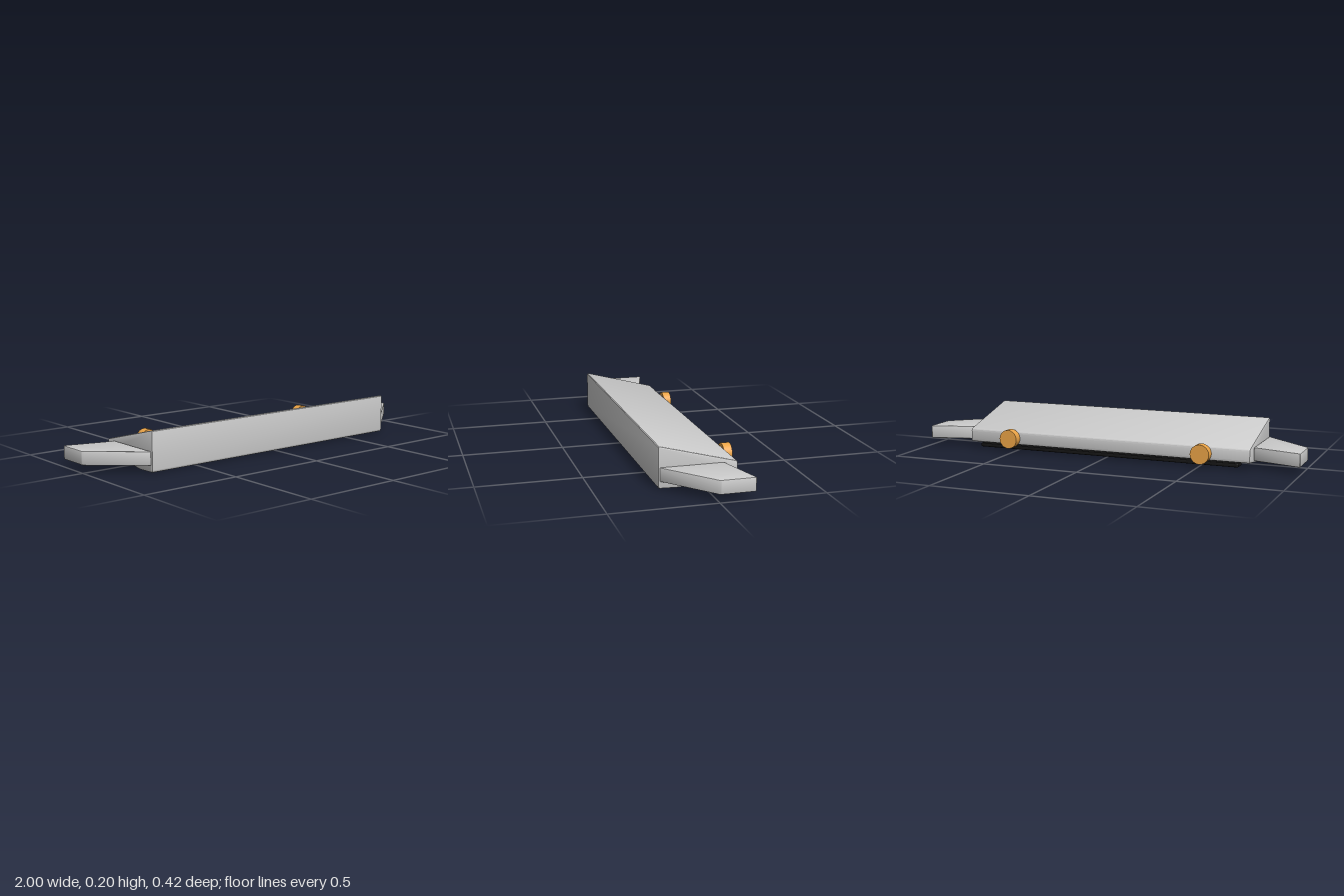
import * as THREE from 'three';
import { toCreasedNormals } from 'three/addons/utils/BufferGeometryUtils.js';

// Polygon with softly rounded corners
function roundedShape(points, r) {
  const shape = new THREE.Shape();
  const n = points.length;
  const pts = points.map(([x, y]) => new THREE.Vector2(x, y));
  pts.forEach((p, i) => {
    const toward = (q) => q.clone().sub(p).setLength(r).add(p);
    const a = toward(pts[(i + n - 1) % n]);
    const b = toward(pts[(i + 1) % n]);
    if (i === 0) shape.moveTo(a.x, a.y);
    else shape.lineTo(a.x, a.y);
    shape.quadraticCurveTo(p.x, p.y, b.x, b.y);
  });
  shape.closePath();
  return shape;
}

// Bevelled slab, centred on its depth
function slab(points, depth, r) {
  const bevel = r * 0.6;
  const geometry = new THREE.ExtrudeGeometry(roundedShape(points, r), {
    depth: depth - 2 * bevel, curveSegments: 3,
    bevelSize: bevel, bevelThickness: bevel, bevelOffset: -bevel, bevelSegments: 2,
  });
  geometry.translate(0, 0, bevel - depth / 2);
  return toCreasedNormals(geometry, 0.6);
}

export function createModel() {
  const group = new THREE.Group();
  const grey = new THREE.MeshStandardMaterial({ color: 0xcccccc });
  const amber = new THREE.MeshStandardMaterial({ color: 0xeba447 });
  const black = new THREE.MeshStandardMaterial({ color: 0x151515 });
  const add = (name, geometry, material) => {
    const mesh = new THREE.Mesh(geometry, material);
    mesh.name = name;
    group.add(mesh);
    return mesh;
  };

  // Wedge body: side profile as (-z, y), swept along x
  const profile = [[-0.21, 0.003], [-0.21, 0.203], [0.168, 0.104], [0.168, 0.037], [-0.11, 0]];
  add('body', slab(profile, 1.514, 0.012).rotateY(Math.PI / 2), grey);

  // Swept side wings and round rear knobs
  for (const [side, s] of [['left', 1], ['right', -1]]) {
    const plan = [[0.757, -0.206], [1, 0], [1, 0.17], [0.757, 0.102]].map(([x, y]) => [s * x, y]);
    const wing = add(side + 'Wing', slab(plan, 0.067, 0.009).rotateX(-Math.PI / 2), grey);
    wing.position.y = 0.0705;

    const knob = add(side + 'Knob', new THREE.CylinderGeometry(0.048, 0.048, 0.042, 32).rotateX(Math.PI / 2), amber);
    knob.position.set(s * 0.517, 0.07, -0.189);
  }

  // Dark strip under the rear edge
  const strip = [[-0.7, 0.1], [0.7, 0.1], [0.7, 0.168], [-0.7, 0.168]];
  const rail = add('rearStrip', slab(strip, 0.02, 0.01).rotateX(-Math.PI / 2), black);
  rail.position.y = 0.022;

  return group;
}
